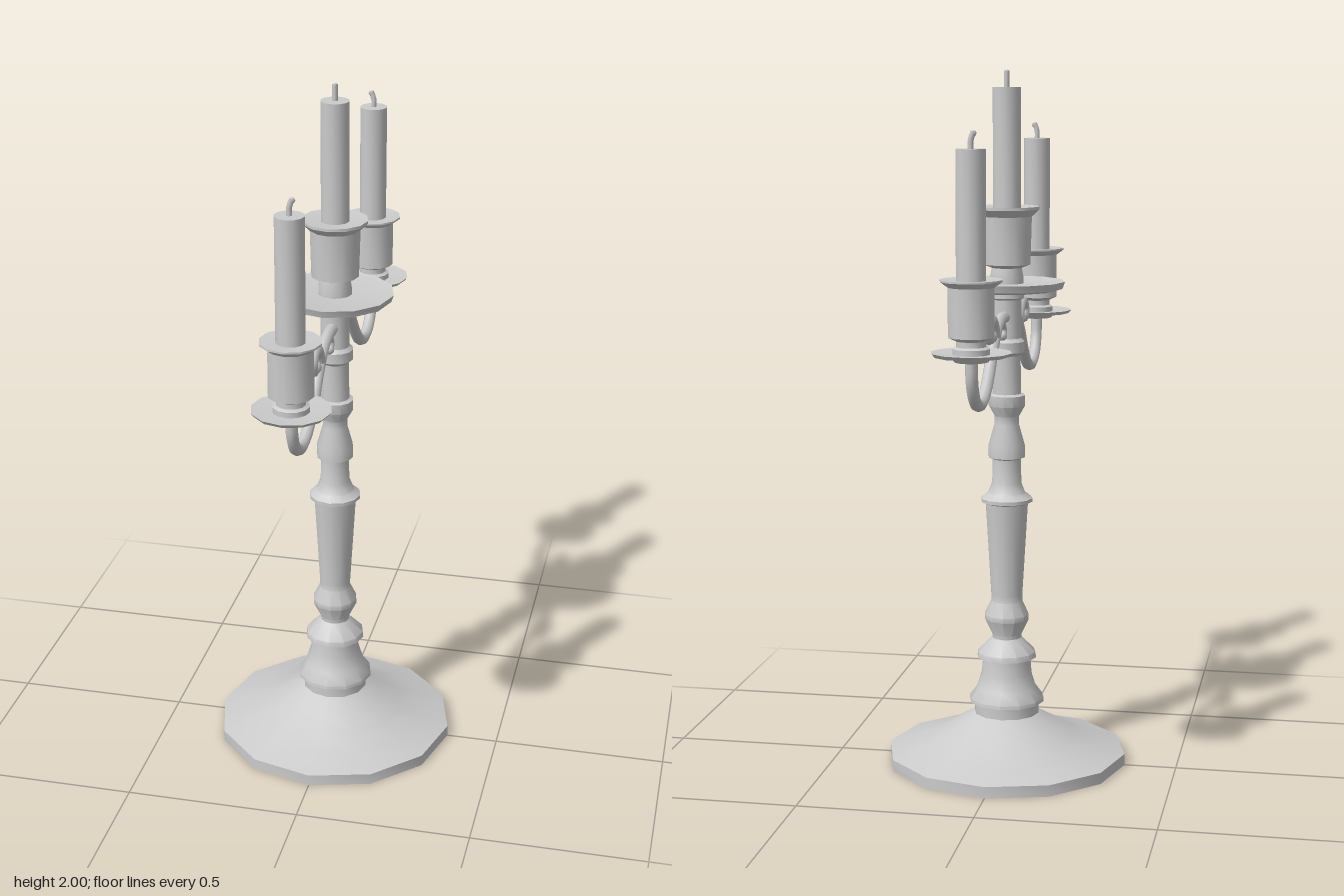
import * as THREE from 'three';
import { toCreasedNormals } from 'three/addons/utils/BufferGeometryUtils.js';

const material = new THREE.MeshStandardMaterial({ color: 0xcccccc });

function addMesh(parent, name, geometry) {
  const mesh = new THREE.Mesh(geometry, material);
  mesh.name = name;
  parent.add(mesh);
  return mesh;
}

// Turned part: [radius, height] pairs from bottom to top, twelve sides
function turned(parent, name, profile) {
  const points = profile.map(([r, y]) => new THREE.Vector2(r, y));
  return addMesh(parent, name, toCreasedNormals(new THREE.LatheGeometry(points, 12), 0.65));
}

// Round bar through [z, y] points in the x = 0 plane, optionally with a ball end
function bar(parent, name, path, radius, segments, ball = 0) {
  const points = path.map(([z, y]) => new THREE.Vector3(0, y, z));
  const curve = new THREE.CatmullRomCurve3(points);
  addMesh(parent, name, new THREE.TubeGeometry(curve, segments, radius, 8));
  if (ball) {
    const end = addMesh(parent, name + 'Tip', new THREE.SphereGeometry(ball, 10, 8));
    end.position.copy(points[points.length - 1]);
  }
}

// Candle with a slightly bent wick
function candle(parent, bottom, top, tip, lean) {
  turned(parent, 'candle', [[0, bottom], [0.04, bottom], [0.04, top], [0, top]]);
  const path = new THREE.CatmullRomCurve3([
    new THREE.Vector3(0, top - 0.005, 0),
    new THREE.Vector3(0, (top + tip) / 2, 0),
    new THREE.Vector3(lean, tip, 0),
  ]);
  addMesh(parent, 'wick', new THREE.TubeGeometry(path, 4, 0.008, 6));
  const cap = addMesh(parent, 'wickTip', new THREE.SphereGeometry(0.008, 6, 4));
  cap.position.set(lean, tip - 0.005, 0);
}

function createArm() {
  const arm = new THREE.Group();
  arm.name = 'arm';
  // S-shaped branch and its two scrolls
  bar(arm, 'branch', [[0.02, 1.312], [0.09, 1.313], [0.15, 1.298], [0.21, 1.25], [0.275, 1.18],
    [0.34, 1.132], [0.41, 1.118], [0.47, 1.14], [0.505, 1.19], [0.515, 1.26]], 0.017, 40);
  bar(arm, 'upperScroll', [[0.185, 1.265], [0.2, 1.302], [0.227, 1.325], [0.262, 1.326],
    [0.283, 1.303], [0.272, 1.28], [0.25, 1.284]], 0.017, 28, 0.02);
  bar(arm, 'lowerScroll', [[0.11, 1.308], [0.07, 1.3], [0.048, 1.28], [0.055, 1.26],
    [0.072, 1.264]], 0.009, 16, 0.014);

  // Drip pan, cup and candle at the end of the branch
  const holder = new THREE.Group();
  holder.name = 'armHolder';
  holder.position.z = 0.515;
  turned(holder, 'dripPan', [[0, 1.25], [0.045, 1.25], [0.055, 1.262], [0.1, 1.265], [0.108, 1.275],
    [0.05, 1.27], [0, 1.27]]);
  turned(holder, 'cup', [[0.05, 1.268], [0.05, 1.285], [0.04, 1.29], [0.04, 1.305], [0.062, 1.315],
    [0.062, 1.445], [0.083, 1.46], [0.083, 1.465], [0.04, 1.462]]);
  candle(holder, 1.4, 1.8, 1.845, 0.008);
  arm.add(holder);
  return arm;
}

export function createModel() {
  const model = new THREE.Group();
  model.name = 'candelabrum';

  // Flared foot
  turned(model, 'foot', [[0, 0], [0.35, 0], [0.35, 0.033], [0.27, 0.057], [0.2, 0.085],
    [0.14, 0.12], [0.095, 0.145], [0.095, 0.18], [0, 0.18]]);

  // Baluster stem
  turned(model, 'stem', [[0, 0.18], [0.11, 0.18], [0.11, 0.19], [0.088, 0.22], [0.074, 0.265],
    [0.07, 0.31], [0.087, 0.312], [0.085, 0.328], [0.043, 0.37], [0.043, 0.38], [0.065, 0.425],
    [0.065, 0.44], [0.046, 0.48], [0.046, 0.5], [0.062, 0.77], [0.075, 0.775], [0.075, 0.785],
    [0.055, 0.8], [0.043, 0.83], [0.041, 0.9], [0.053, 0.905], [0.053, 0.94], [0.036, 1.0],
    [0.036, 1.025], [0.053, 1.055], [0.053, 1.085], [0.042, 1.09], [0.04, 1.2], [0.052, 1.21],
    [0.052, 1.24], [0.042, 1.25], [0.042, 1.36], [0.05, 1.365], [0.05, 1.39]]);

  // Central drip pan, cup and candle
  turned(model, 'centreDripPan', [[0, 1.382], [0.14, 1.386], [0.16, 1.392], [0.167, 1.412],
    [0.15, 1.408], [0, 1.405]]);
  turned(model, 'centreCup', [[0.048, 1.403], [0.048, 1.425], [0.043, 1.45], [0.068, 1.46],
    [0.072, 1.595], [0.093, 1.615], [0.093, 1.623], [0.04, 1.618]]);
  candle(model, 1.56, 1.955, 2.0, 0);

  // Matching arms to the front and the back
  for (const turn of [0, Math.PI]) {
    const arm = createArm();
    arm.rotation.y = turn;
    model.add(arm);
  }
  return model;
}
